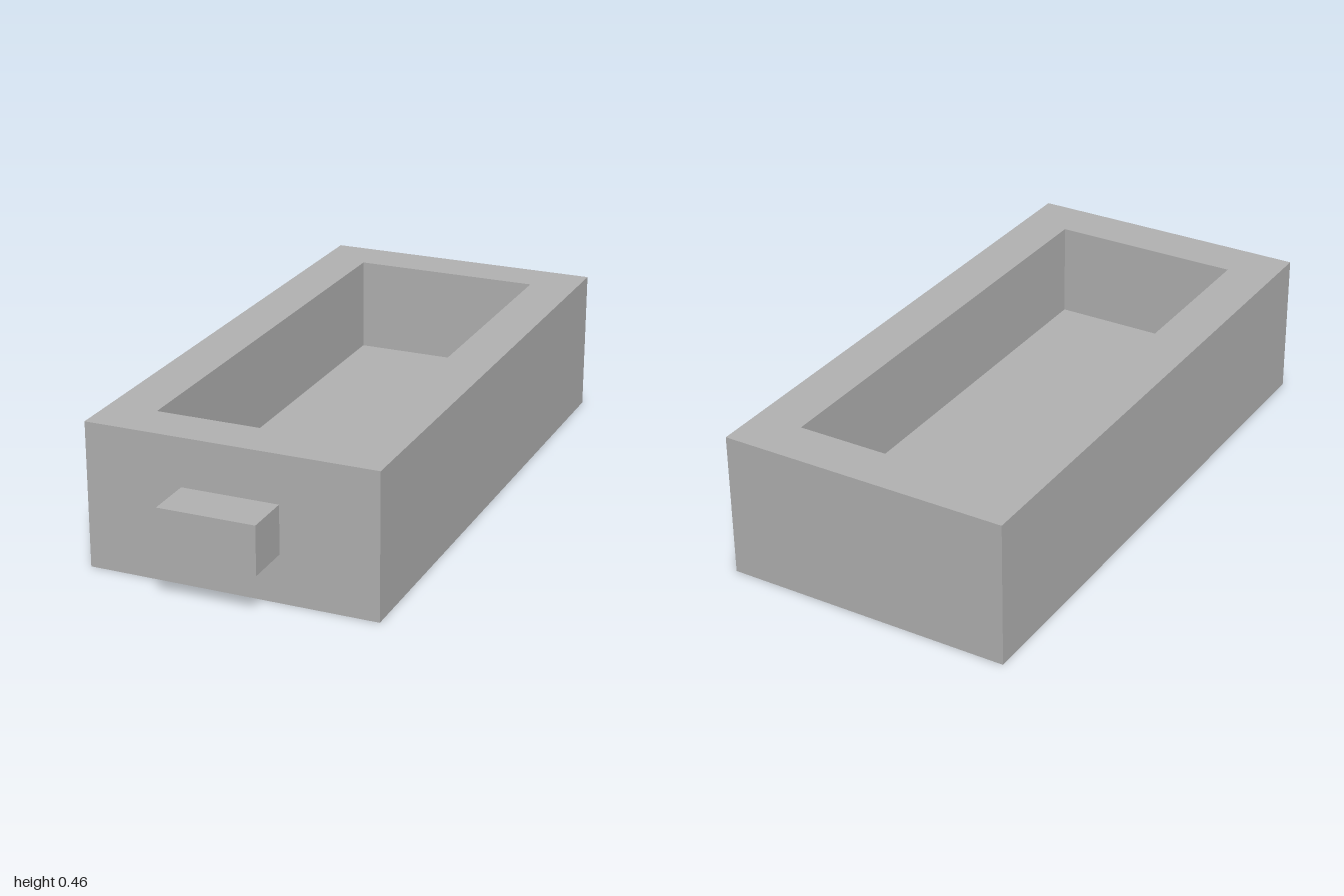
import * as THREE from 'three';

const U = 2 / 13; // wall thickness, the module all sizes follow

export function createModel() {
  const group = new THREE.Group();
  group.name = 'drawer';
  const grey = new THREE.MeshStandardMaterial({ color: 0xb2b2b2 });
  grey.name = 'grey';

  const add = (name, geometry, x, y, z) => {
    const mesh = new THREE.Mesh(geometry, grey);
    mesh.name = name;
    mesh.position.set(x, y, z);
    group.add(mesh);
  };

  // rectangle centred on the origin
  const rect = (Type, w, h) => new Type([
    new THREE.Vector2(-w / 2, -h / 2),
    new THREE.Vector2(w / 2, -h / 2),
    new THREE.Vector2(w / 2, h / 2),
    new THREE.Vector2(-w / 2, h / 2),
  ]);

  const width = 6 * U, length = 12 * U;
  const boxZ = -U / 2; // the handle takes the front unit

  // floor
  add('floor', new THREE.BoxGeometry(width, U, length), 0, U / 2, boxZ);

  // four walls as one frame with an open middle
  const frame = rect(THREE.Shape, width, length);
  frame.holes.push(rect(THREE.Path, width - 2 * U, length - 2 * U));
  const walls = new THREE.ExtrudeGeometry(frame, { depth: 2 * U, bevelEnabled: false });
  walls.rotateX(-Math.PI / 2);
  add('walls', walls, 0, U, boxZ);

  // handle block on the front
  add('handle', new THREE.BoxGeometry(2 * U, U, U), 0, 1.5 * U, 1 - U / 2);

  return group;
}
